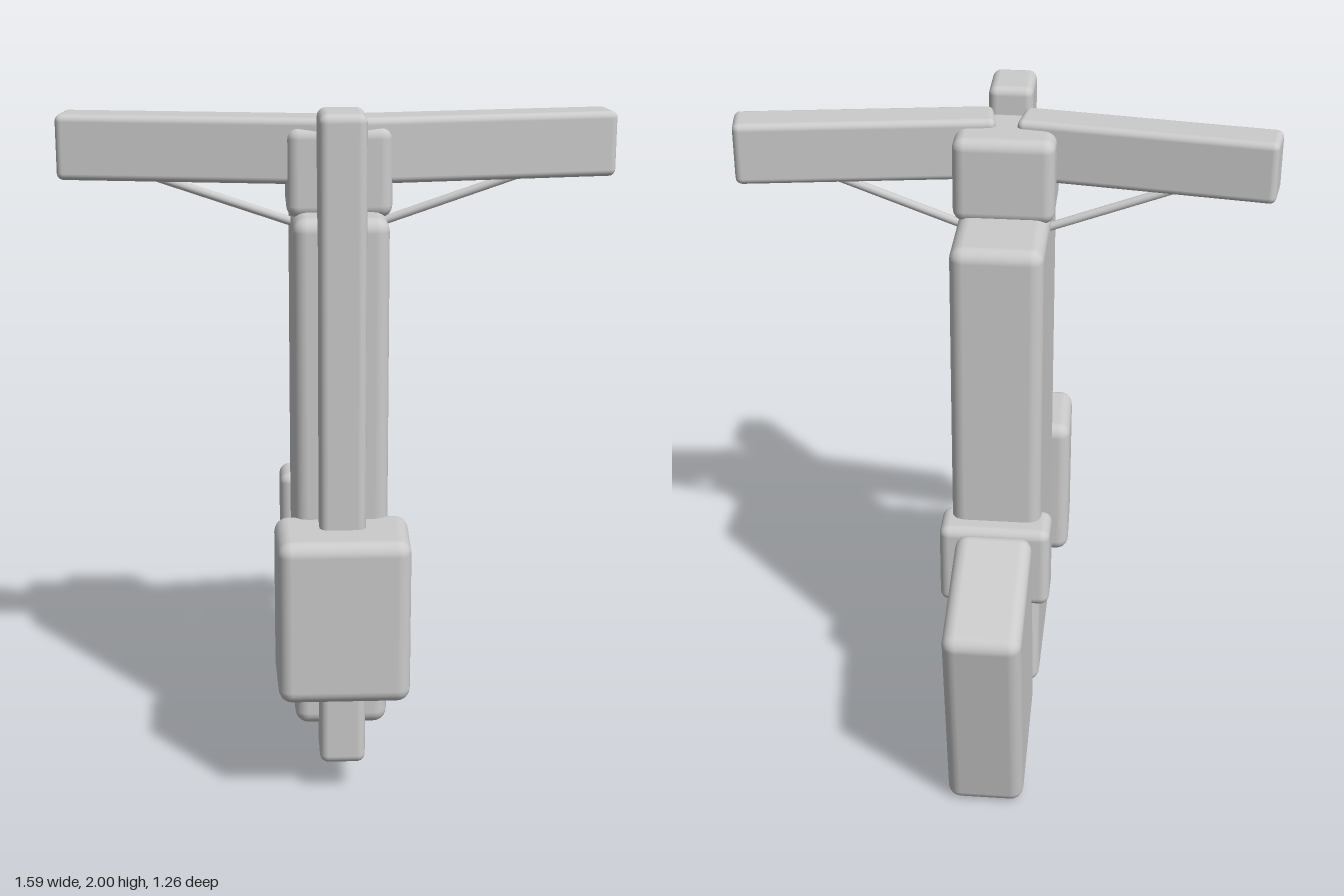
import * as THREE from 'three';
import { RoundedBoxGeometry } from 'three/addons/geometries/RoundedBoxGeometry.js';

const material = new THREE.MeshStandardMaterial({ color: 0xcccccc });

function add(parent, name, geometry) {
  const mesh = new THREE.Mesh(geometry, material);
  mesh.name = name;
  parent.add(mesh);
  return mesh;
}

// Rounded block given by its width and its y and z ranges, centred on x = 0
function block(parent, name, width, [y0, y1], [z0, z1], radius) {
  const mesh = add(parent, name, new RoundedBoxGeometry(width, y1 - y0, z1 - z0, 3, radius));
  mesh.position.set(0, (y0 + y1) / 2, (z0 + z1) / 2);
  return mesh;
}

// Thin round bar between two points
function bar(parent, name, from, to, radius) {
  const dir = to.clone().sub(from);
  const mesh = add(parent, name, new THREE.CylinderGeometry(radius, radius, dir.length(), 12));
  mesh.position.copy(from).add(to).multiplyScalar(0.5);
  mesh.quaternion.setFromUnitVectors(new THREE.Vector3(0, 1, 0), dir.normalize());
  return mesh;
}

export function createModel() {
  const model = new THREE.Group();
  model.name = 'model';

  // Central column and the long rail in front of it
  block(model, 'body', 0.27, [0.18, 1.7], [-0.153, 0.418], 0.04);
  block(model, 'rail', 0.132, [0.1, 2], [0.333, 0.51], 0.025);

  // Front grip, slightly narrower towards the front
  const grip = block(model, 'frontGrip', 0.388, [0.345, 0.83], [0.363, 0.633], 0.04);
  const points = grip.geometry.attributes.position;
  for (let i = 0; i < points.count; i++) {
    points.setX(i, points.getX(i) * (0.98 - 0.15 * points.getZ(i)));
  }

  // Rear collar and the leaning stock behind it
  block(model, 'collar', 0.335, [0.533, 0.803], [-0.213, -0.068], 0.03);
  const stockGeometry = new RoundedBoxGeometry(0.232, 0.71, 0.45, 3, 0.04);
  stockGeometry.applyMatrix4(new THREE.Matrix4().makeBasis(
    new THREE.Vector3(1, 0, 0),
    new THREE.Vector3(0, 0.984, -0.178),
    new THREE.Vector3(0, 0.225, 0.974)
  ));
  add(model, 'stock', stockGeometry).position.set(0, 0.396, -0.355);

  // Head block that holds the arms
  block(model, 'head', 0.298, [1.68, 1.938], [0.073, 0.312], 0.035);

  // Swept-back arms with a diagonal brace under each
  for (const side of [1, -1]) {
    const group = new THREE.Group();
    group.name = side > 0 ? 'leftArm' : 'rightArm';
    const arm = add(group, 'arm', new RoundedBoxGeometry(0.757, 0.186, 0.128, 3, 0.02));
    arm.position.set(side * 0.413, 1.868, 0.188);
    arm.rotation.y = side * 0.147;
    bar(group, 'brace',
      new THREE.Vector3(side * 0.1, 1.635, 0.153),
      new THREE.Vector3(side * 0.6, 1.81, 0.175), 0.013);
    model.add(group);
  }

  return model;
}
